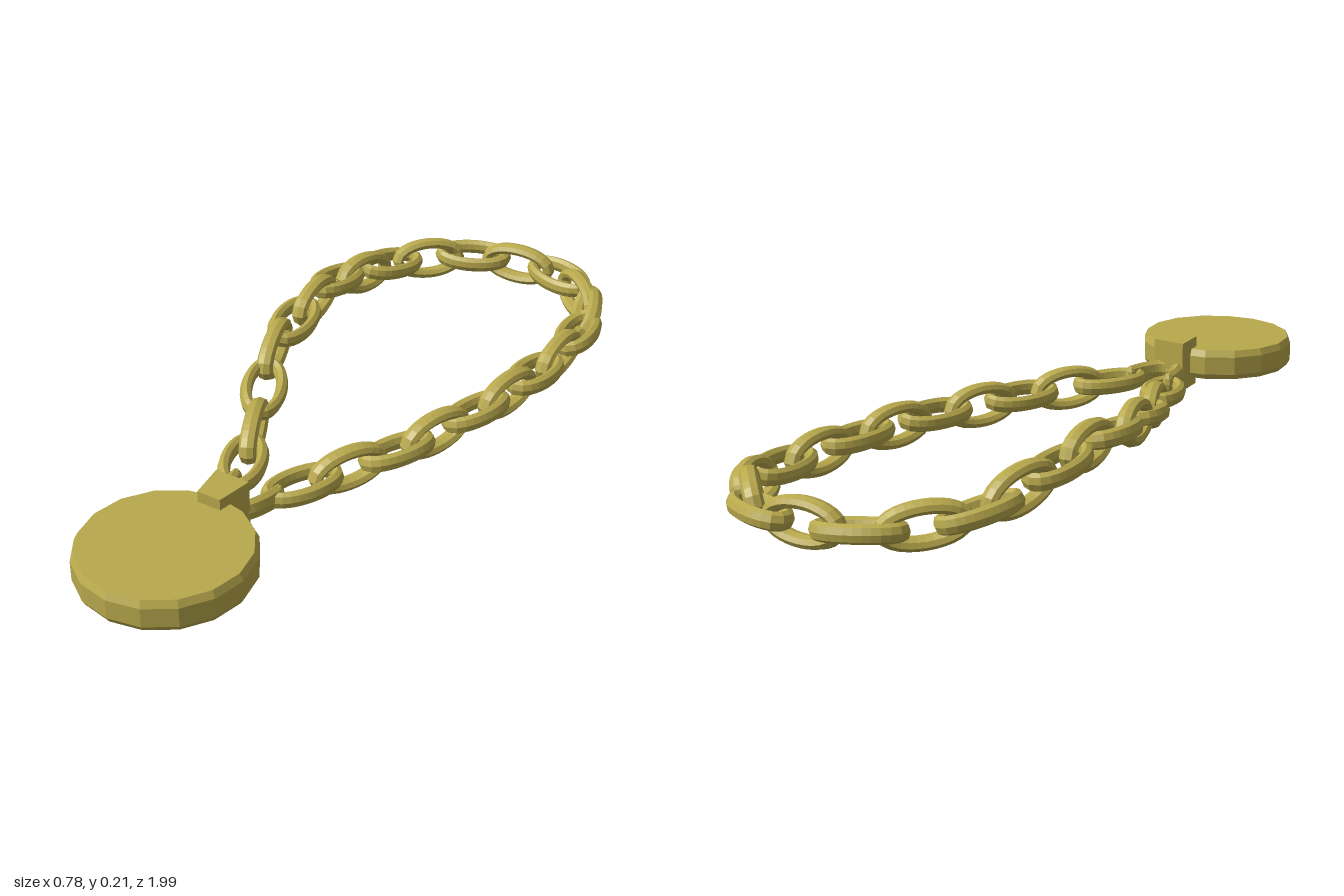
import * as THREE from 'three';

const gold = new THREE.MeshStandardMaterial({ color: 0xb8a84c, flatShading: true, side: THREE.DoubleSide });

// link centres: x, y, z, roll in degrees (0 = lying flat, 90 = on edge)
const LINKS = [
  [-0.09, 0.08, 0.36, 0], [-0.145, 0.085, 0.235, 90], [-0.215, 0.11, 0.09, 10],
  [-0.28, 0.137, -0.055, 90], [-0.305, 0.15, -0.185, 10], [-0.32, 0.152, -0.31, 90],
  [-0.338, 0.145, -0.45, 0], [-0.322, 0.12, -0.57, 90], [-0.305, 0.1, -0.69, 10],
  [-0.24, 0.088, -0.8, 80], [-0.14, 0.082, -0.895, 10], [-0.005, 0.08, -0.925, 90],
  [0.13, 0.077, -0.925, 10], [0.225, 0.075, -0.855, 80], [0.285, 0.07, -0.79, 60],
  [0.318, 0.072, -0.665, 10], [0.325, 0.068, -0.535, 90], [0.318, 0.075, -0.405, 0],
  [0.303, 0.075, -0.28, 90], [0.278, 0.078, -0.155, 10], [0.238, 0.076, -0.015, 90],
  [0.2, 0.078, 0.11, 10], [0.14, 0.08, 0.24, 90], [0.085, 0.08, 0.36, 0],
];

// oval link lying in the XY plane, with a section thicker across the plane
function linkGeometry() {
  const pts = [];
  for (let i = 0; i < 16; i++) {
    const a = (i / 16) * Math.PI * 2;
    pts.push(new THREE.Vector3(0.097 * Math.cos(a), 0.045 * Math.sin(a), 0));
  }
  const path = new THREE.CatmullRomCurve3(pts, true);
  return new THREE.TubeGeometry(path, 24, 0.016, 8, true).scale(1, 1, 1.4);
}

function add(group, name, geometry) {
  const mesh = new THREE.Mesh(geometry, gold);
  mesh.name = name;
  group.add(mesh);
  return mesh;
}

export function createModel() {
  const model = new THREE.Group();
  model.name = 'pendantNecklace';

  // chain: each link follows the direction between its neighbours
  const chain = new THREE.Group();
  chain.name = 'chain';
  model.add(chain);
  const geo = linkGeometry();
  const centres = LINKS.map(l => new THREE.Vector3(l[0], l[1], l[2]));
  const up = new THREE.Vector3(0, 1, 0);
  centres.forEach((c, i) => {
    const prev = centres[Math.max(i - 1, 0)];
    const next = centres[Math.min(i + 1, centres.length - 1)];
    const dir = next.clone().sub(prev).normalize();
    const side = up.clone().cross(dir).normalize();
    const normal = dir.clone().cross(side);
    const link = add(chain, 'chainLink', geo);
    link.position.copy(c);
    link.quaternion.setFromRotationMatrix(new THREE.Matrix4().makeBasis(dir, side, normal));
    link.rotateX(THREE.MathUtils.degToRad(LINKS[i][3]));
  });

  // U-shaped hook joining both chain ends
  const hook = new THREE.CatmullRomCurve3(
    [[-0.062, 0.43], [-0.052, 0.48], [-0.03, 0.525], [0, 0.54], [0.03, 0.525], [0.052, 0.48], [0.062, 0.43]]
      .map(([x, z]) => new THREE.Vector3(x, 0, z)));
  add(model, 'hook', new THREE.TubeGeometry(hook, 20, 0.016, 8, false).scale(1, 1.9, 1)).position.y = 0.083;
  for (const s of [-1, 1]) {
    add(model, 'hookEnd', new THREE.SphereGeometry(0.016, 8, 6).scale(1, 1.9, 1)).position.set(s * 0.062, 0.083, 0.43);
  }

  // tapered bail clamping the medallion
  const outline = new THREE.Shape([[-0.047, 0.525], [0.047, 0.525], [0.032, 0.62], [-0.032, 0.62]]
    .map(([x, z]) => new THREE.Vector2(x, -z)));
  const bail = new THREE.ExtrudeGeometry(outline, { depth: 0.138, bevelEnabled: false });
  add(model, 'bail', bail.rotateX(-Math.PI / 2)).position.y = 0.034;

  // round medallion with a softened rim
  const profile = [[0, 0.06], [0.205, 0.06], [0.214, 0.075], [0.214, 0.125], [0.205, 0.143], [0, 0.143]]
    .map(([r, y]) => new THREE.Vector2(r, y));
  add(model, 'medallion', new THREE.LatheGeometry(profile, 16)).position.z = 0.785;

  return model;
}
